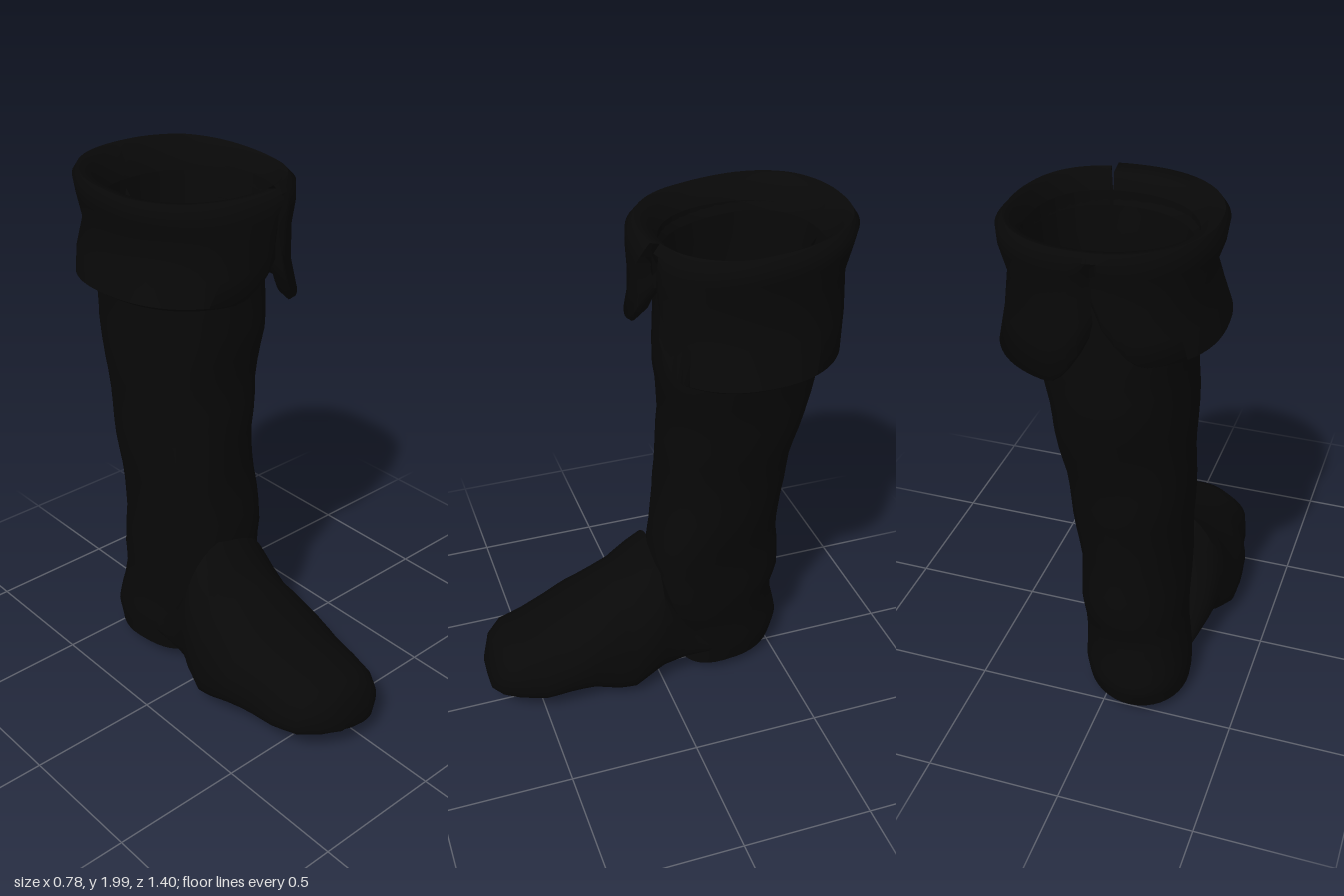
import * as THREE from 'three';
import { toCreasedNormals } from 'three/addons/utils/BufferGeometryUtils.js';

const { lerp, clamp } = THREE.MathUtils;
const spow = (v, k) => Math.sign(v) * Math.abs(v) ** k;

// Skin a grid of points (rows of equal length), optionally closed round each row
function skin(rows, closed, crease = 0.9) {
  const n = rows[0].length, index = [];
  const cols = closed ? n : n - 1;
  for (let i = 0; i < rows.length - 1; i++) {
    for (let j = 0; j < cols; j++) {
      const a = i * n + j, b = i * n + (j + 1) % n, c = a + n, d = b + n;
      index.push(a, c, b, b, c, d);
    }
  }
  const geo = new THREE.BufferGeometry();
  geo.setAttribute('position', new THREE.Float32BufferAttribute(rows.flat(2), 3));
  geo.setIndex(index);
  return toCreasedNormals(geo, crease);
}

// Insert evenly spaced sections between the given ones
function subdivide(sections, steps) {
  const out = [];
  for (let i = 0; i < sections.length - 1; i++) {
    for (let s = 0; s < steps; s++) {
      out.push(sections[i].map((v, k) => lerp(v, sections[i + 1][k], s / steps)));
    }
  }
  out.push(sections.at(-1));
  return out;
}

// Soft leather folds
const fold = (a, y) => 1 + 0.014 * Math.sin(17 * y + 2 * Math.sin(a + 1)) + 0.01 * Math.sin(3 * a + 9 * y);

// Point on a horizontal outline [y, xMin, xMax, zBack, zFront];
// near the ground it is square in front, round behind and slightly twisted
function outline([y, x0, x1, zb, zf], a) {
  const f = fold(a, y), low = clamp((1 - y) / 0.7, 0, 1);
  const k = Math.sin(a) > 0 ? 0.88 - 0.2 * low : 0.88 + 0.12 * low;
  const dz = (zf - zb) / 2 * f * spow(Math.sin(a), k);
  const dx = (x1 - x0) / 2 * f * spow(Math.cos(a), k);
  return [(x0 + x1) / 2 + dx + (0.06 + 0.06 * low) * dz, y, (zb + zf) / 2 + dz];
}

const N = 40;
const angles = Array.from({ length: N }, (_, i) => i / N * Math.PI * 2);
const tube = (sections, steps) =>
  skin(subdivide(sections, steps).map(s => angles.map(a => outline(s, a))), true);

// Foot cross-section [z, yMin, yMax, xMin, xMax], widest low down, sole tilted
function footRing([z, y0, y1, x0, x1]) {
  const h = y1 - y0, cy = y0 + h * 0.32;
  return angles.map(a => {
    const c = Math.cos(a), s = Math.sin(a), low = s < 0;
    const f = 1 + 0.02 * Math.sin(19 * z + 3 * a);
    const tilt = low ? 0.03 * Math.max(0, 0.2 - c) * -s : 0;
    return [
      (x0 + x1) / 2 + (x1 - x0) / 2 * f * spow(c, low ? 0.6 : 0.9),
      cy + spow(s, low ? 0.6 : 0.95) * h * (low ? 0.32 : 0.68) + tilt, z,
    ];
  });
}

// One turned-down flap of the cuff between two angles
function flap(a0, a1, bottom, x0, x1, zf) {
  const mid = (1.8 + bottom) / 2;
  const profile = [ // from the underside, up the outside, over the rim, down inside
    [1.78, -0.29, 0.28, -0.64, 0.02],
    [bottom + 0.03, x0 + 0.05, x1 - 0.05, -0.62, zf - 0.05],
    [bottom, x0 + 0.02, x1 - 0.02, -0.65, zf - 0.02],
    [bottom + 0.015, x0, x1, -0.67, zf],
    [mid, (x0 - 0.33) / 2, (x1 + 0.335) / 2, -0.68, zf],
    [1.8, -0.33, 0.335, -0.68, zf],
    [1.88, -0.36, 0.362, -0.69, zf],
    [1.94, -0.365, 0.368, -0.7, zf],
    [1.968, -0.345, 0.345, -0.68, zf - 0.025],
    [1.955, -0.3, 0.32, -0.64, 0.01],
    [1.85, -0.27, 0.29, -0.61, -0.03],
  ];
  const M = 36;
  const rows = profile.map((s, i) => Array.from({ length: M + 1 }, (_, j) => {
    const t = j / M, a = lerp(a0, a1, t);
    const p = outline(s, a);
    const edge = Math.min(t, 1 - t);
    // round the lower corners and tuck the side edges in
    const corner = Math.max(0, 1 - edge / 0.14) ** 2 * 0.2;
    const down = clamp((1.9 - s[0]) / (1.9 - bottom), 0, 1);
    if (i < 7) p[1] += corner * down;
    if (edge === 0 && i > 0 && i < 7) {
      p[0] = lerp(p[0], 0, 0.1);
      p[2] = lerp(p[2], -0.3, 0.1);
    }
    // the rim rises toward the back
    if (i > 5) p[1] += 0.025 * clamp((-p[2] - 0.2) / 0.4, 0, 1);
    return p;
  }));
  return skin(rows, false, 1.1);
}

export function createModel() {
  const model = new THREE.Group();
  const leather = new THREE.MeshStandardMaterial({ color: 0x080808, side: THREE.DoubleSide });
  leather.name = 'blackLeather';
  const add = (name, geo) => {
    const mesh = new THREE.Mesh(geo, leather);
    mesh.name = name;
    model.add(mesh);
  };

  // Shaft running down to the heel, closed underneath
  add('shaft', tube([
    [0.05, -0.09, -0.09, -0.32, -0.32],
    [0.05, -0.29, 0.11, -0.54, -0.1],
    [0.13, -0.29, 0.12, -0.56, -0.1],
    [0.25, -0.27, 0.125, -0.535, -0.06],
    [0.33, -0.265, 0.135, -0.53, -0.02],
    [0.42, -0.265, 0.145, -0.545, 0.0],
    [0.6, -0.26, 0.155, -0.525, 0.02],
    [0.8, -0.275, 0.17, -0.53, -0.015],
    [1.0, -0.28, 0.18, -0.555, -0.02],
    [1.2, -0.285, 0.21, -0.59, -0.03],
    [1.4, -0.285, 0.235, -0.64, 0.0],
    [1.55, -0.29, 0.255, -0.645, -0.01],
    [1.85, -0.29, 0.29, -0.64, 0.0],
  ], 3));

  // Inside of the shaft, with the insole as its floor
  add('lining', tube([
    [1.9, -0.28, 0.3, -0.62, -0.02],
    [1.5, -0.265, 0.235, -0.61, -0.04],
    [1.0, -0.255, 0.155, -0.53, -0.05],
    [0.6, -0.24, 0.135, -0.5, -0.04],
    [0.17, -0.24, 0.1, -0.5, -0.12],
    [0.17, -0.07, -0.07, -0.3, -0.3],
  ], 3));

  // Foot from toe to instep, its rear end hidden under the insole
  add('foot', skin(subdivide([
    [0.7, 0.12, 0.12, -0.05, -0.05],
    [0.695, 0.09, 0.17, -0.13, 0.03],
    [0.66, 0.08, 0.25, -0.21, 0.09],
    [0.6, 0.075, 0.28, -0.275, 0.13],
    [0.5, 0.065, 0.305, -0.305, 0.155],
    [0.4, 0.06, 0.34, -0.325, 0.155],
    [0.3, 0.055, 0.385, -0.35, 0.165],
    [0.2, 0.02, 0.44, -0.355, 0.17],
    [0.13, 0.0, 0.475, -0.355, 0.165],
    [0.05, 0.03, 0.55, -0.34, 0.155],
    [0.0, 0.055, 0.6, -0.32, 0.15],
    [-0.1, 0.1, 0.35, -0.3, 0.14],
    [-0.25, 0.1, 0.165, -0.27, 0.11],
    [-0.25, 0.13, 0.13, -0.07, -0.07],
  ], 2).map(footRing), true));

  // Two cuff flaps, parted at the front and the back
  add('leftCuffFlap', flap(-1.62, 1.32, 1.495, -0.38, 0.385, 0.06));
  add('rightCuffFlap', flap(1.36, 4.69, 1.595, -0.385, 0.38, 0.09));

  return model;
}
